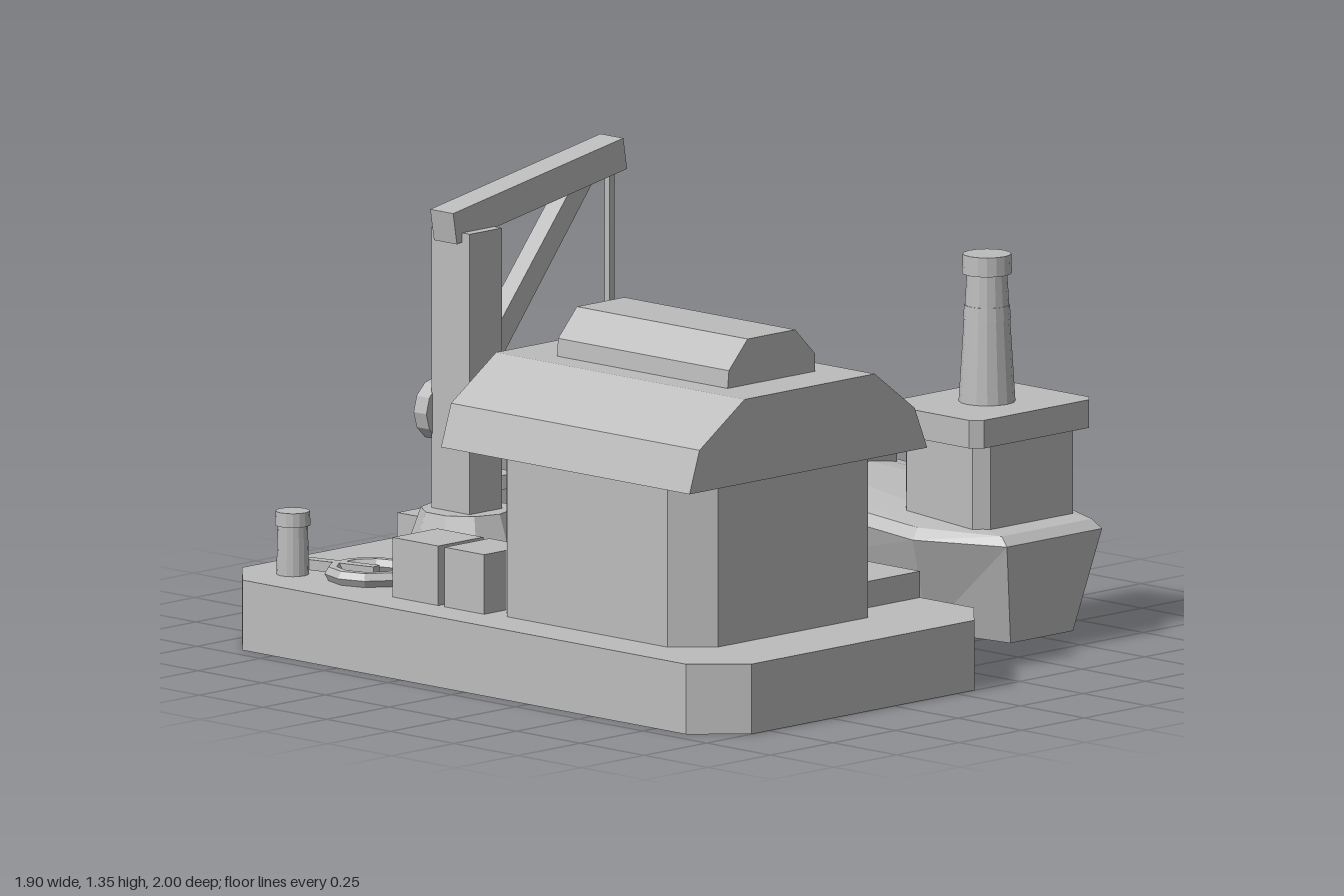
import * as THREE from 'three';

const gray = new THREE.MeshStandardMaterial({ color: 0xbcbcbc, flatShading: true, side: THREE.DoubleSide });
gray.name = 'plain gray';

export function createModel() {
  const model = new THREE.Group();
  model.name = 'harbour';

  const add = (name, geometry, x = 0, y = 0, z = 0) => {
    const mesh = new THREE.Mesh(geometry, gray);
    mesh.name = name;
    mesh.position.set(x, y, z);
    model.add(mesh);
    return mesh;
  };

  // Box given by its limits
  const box = (name, x0, x1, y0, y1, z0, z1) =>
    add(name, new THREE.BoxGeometry(x1 - x0, y1 - y0, z1 - z0), (x0 + x1) / 2, (y0 + y1) / 2, (z0 + z1) / 2);

  // Upright tapered cylinder
  const cylinder = (name, x, z, y0, y1, rBottom, rTop, sides = 16) =>
    add(name, new THREE.CylinderGeometry(rTop, rBottom, y1 - y0, sides), x, (y0 + y1) / 2, z);

  // Surface through stacked loops, capped on top and optionally below
  const loft = (name, loops, closedBelow = false) => {
    const positions = [];
    const tri = (a, b, c) => positions.push(...a, ...b, ...c);
    const n = loops[0].length;
    for (let k = 0; k + 1 < loops.length; k++) {
      for (let i = 0; i < n; i++) {
        const j = (i + 1) % n;
        const low = loops[k], high = loops[k + 1];
        tri(low[i], high[i], low[j]);
        tri(low[j], high[i], high[j]);
      }
    }
    const top = loops[loops.length - 1], bottom = loops[0];
    for (let i = 1; i + 1 < n; i++) {
      tri(top[0], top[i + 1], top[i]);
      if (closedBelow) tri(bottom[0], bottom[i], bottom[i + 1]);
    }
    const g = new THREE.BufferGeometry();
    g.setAttribute('position', new THREE.Float32BufferAttribute(positions, 3));
    g.computeVertexNormals();
    return add(name, g);
  };

  // Rectangular block with chamfered upright edges
  const chamferBox = (name, x0, x1, y0, y1, z0, z1, c, closedBelow) => {
    const ring = y => [
      [x0 + c, y, z0], [x1 - c, y, z0], [x1, y, z0 + c], [x1, y, z1 - c],
      [x1 - c, y, z1], [x0 + c, y, z1], [x0, y, z1 - c], [x0, y, z0 + c],
    ];
    return loft(name, [ring(y0), ring(y1)], closedBelow);
  };

  // Outline in x and y, extruded between two depths
  const profile = (name, points, z0, z1) => {
    const shape = new THREE.Shape(points.map(p => new THREE.Vector2(p[0], p[1])));
    return add(name, new THREE.ExtrudeGeometry(shape, { depth: z1 - z0, bevelEnabled: false }), 0, 0, z0);
  };

  // Quay
  chamferBox('quayBase', -0.95, 0.2, 0, 0.2, -1, 1, 0.13);
  box('quayPlatform', -0.22, 0.2, 0.2, 0.275, -0.98, 0.66);

  // Warehouse
  chamferBox('houseWalls', -0.81, -0.01, 0.2, 0.68, -0.07, 0.76, 0.1);
  profile('houseRoof', [[-0.89, 0.67], [0.06, 0.67], [0.01, 0.79], [-0.15, 0.91], [-0.67, 0.91], [-0.85, 0.79]], -0.15, 0.825);
  profile('skylight', [[-0.59, 0.91], [-0.24, 0.91], [-0.24, 0.96], [-0.32, 1.04], [-0.51, 1.04], [-0.585, 0.96]], 0.01, 0.68);
  box('skylightLedge', -0.25, -0.21, 0.9, 0.97, 0.1, 0.57);

  // Side window
  box('windowFrame', -0.02, 0.008, 0.35, 0.59, 0.12, 0.5);
  box('windowPane', 0, 0.02, 0.4, 0.55, 0.165, 0.455);

  // Arched back door with two pointed leaves
  const doorX = -0.41;
  const arch = (w, side, top) => [
    [doorX - w, 0.2], [doorX + w, 0.2], [doorX + w, side], [doorX + w * 0.55, top - 0.03],
    [doorX, top], [doorX - w * 0.55, top - 0.03], [doorX - w, side],
  ];
  profile('doorFrame', arch(0.18, 0.44, 0.57), -0.12, -0.06);
  for (const s of [-1, 1]) {
    const cx = doorX + s * 0.062;
    profile('doorLeaf', [[cx - 0.058, 0.2], [cx + 0.058, 0.2], [cx + 0.058, 0.44], [cx, 0.52], [cx - 0.058, 0.44]], -0.14, -0.11);
    box('doorHandle', doorX + s * 0.035 - 0.01, doorX + s * 0.035 + 0.01, 0.31, 0.36, -0.15, -0.13);
  }
  box('gablePlate', -0.05, 0.05, -0.05, 0.05, -0.01, 0.01).position.set(-0.42, 0.75, -0.157);
  model.children[model.children.length - 1].rotation.z = Math.PI / 4;

  // Crane
  const craneX = -0.38, craneZ = -0.55;
  cylinder('craneFoot', craneX, craneZ, 0.2, 0.37, 0.19, 0.13, 10);
  box('craneMast', craneX - 0.065, craneX + 0.065, 0.36, 1.17, craneZ - 0.075, craneZ + 0.075);
  profile('craneBoom', [[-0.465, 1.14], [0.215, 1.26], [0.2, 1.35], [-0.48, 1.23]], craneZ - 0.045, craneZ + 0.045);
  profile('craneStrut', [[-0.36, 0.79], [-0.31, 0.74], [0.1, 1.245], [0.01, 1.235]], craneZ - 0.03, craneZ + 0.03);
  const winch = cylinder('winchDrum', craneX, -0.645, 0, 0.05, 0.09, 0.09, 12);
  winch.position.y = 0.64;
  winch.rotation.x = Math.PI / 2;
  box('hoistCable', 0.18, 0.2, 0.69, 1.28, craneZ - 0.01, craneZ + 0.01);
  chamferBox('hoistedLoad', 0.085, 0.285, 0.57, 0.7, -0.65, -0.46, 0.03, true);

  // Bollards
  for (const [x, z, y, h] of [[-0.785, -0.835, 0.2, 0.18], [0.025, -0.835, 0.275, 0.1]]) {
    cylinder('bollardPost', x, z, y, y + h - 0.03, 0.046, 0.042);
    cylinder('bollardCap', x, z, y + h - 0.04, y + h, 0.05, 0.048);
  }

  // Rope coil and its loose end
  const coil = add('ropeCoil', new THREE.TorusGeometry(0.11, 0.023, 6, 10), -0.69, 0.22, -0.62);
  coil.rotation.x = Math.PI / 2;
  const tail = box('ropeEnd', -0.017, 0.017, 0.21, 0.24, -0.12, 0.12);
  tail.position.set(-0.715, 0.225, -0.72);
  tail.rotation.y = 0.24;

  // Crates beside the door
  box('crate', -0.83, -0.65, 0.2, 0.37, -0.4, -0.22);
  box('crate', -0.83, -0.65, 0.2, 0.37, -0.195, -0.04);

  // Boat hull: half loops from bow to stern, mirrored
  const boatX = 0.645;
  const hullLoop = ([bow, ...side]) => [
    [boatX, bow[1], bow[2]],
    ...side.map(([w, y, z]) => [boatX + w, y, z]),
    ...side.slice().reverse().map(([w, y, z]) => [boatX - w, y, z]),
  ];
  loft('boatHull', [
    hullLoop([[0, 0.1, -0.8], [0.17, 0.07, -0.52], [0.2, 0.04, 0.45], [0.125, 0.03, 0.7]]),
    hullLoop([[0, 0.46, -0.87], [0.265, 0.39, -0.57], [0.302, 0.32, 0.49], [0.19, 0.32, 0.75]]),
    hullLoop([[0, 0.485, -0.84], [0.24, 0.42, -0.555], [0.272, 0.35, 0.48], [0.18, 0.345, 0.72]]),
  ]);

  // Boat cabin
  chamferBox('cabin', 0.455, 0.855, 0.33, 0.61, 0.32, 0.65, 0.035);
  chamferBox('cabinRoof', 0.405, 0.885, 0.595, 0.675, 0.295, 0.68, 0.03, true);

  // Funnel
  cylinder('funnel', boatX, 0.485, 0.67, 1.05, 0.08, 0.056);
  cylinder('funnelBand', boatX, 0.485, 0.91, 0.95, 0.067, 0.064);
  cylinder('funnelCap', boatX, 0.485, 1.04, 1.095, 0.07, 0.068);

  // Deck cargo and bow capstan
  for (const [z0, z1, strap] of [[-0.54, -0.315, -0.425], [-0.27, -0.06, -0.167]]) {
    box('deckCargo', 0.45, 0.84, 0.36, 0.52, z0, z1);
    box('cargoStrap', 0.448, 0.842, 0.5, 0.542, strap - 0.018, strap + 0.018);
  }
  cylinder('capstan', boatX, -0.615, 0.4, 0.475, 0.052, 0.05);

  return model;
}
